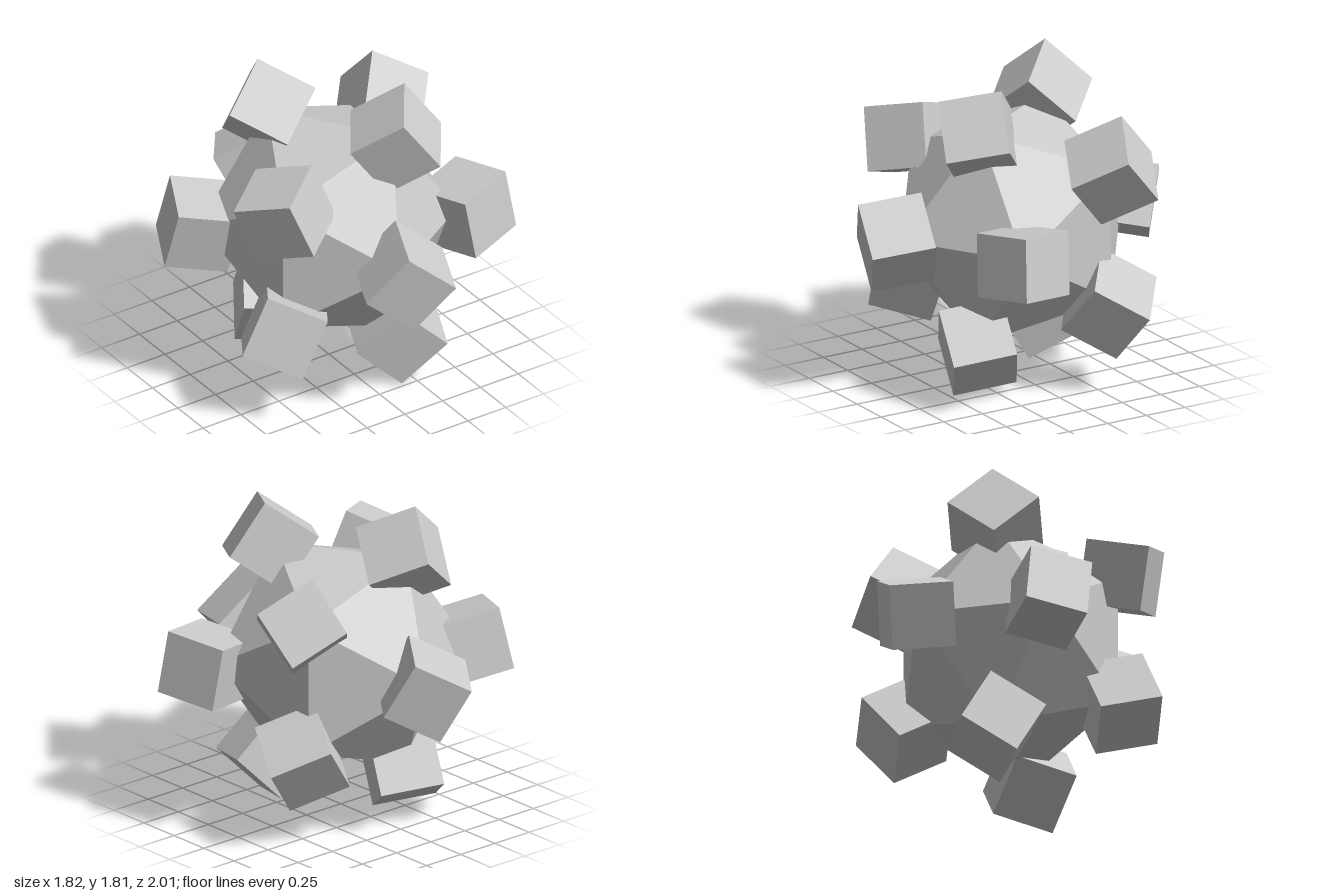
import * as THREE from 'three';

const CENTRE_Y = 0.91;
const CUBE = 0.357;

// Each cube: centre, then the directions of two of its edges
const CUBES = [
  // front, back
  { at: [0, 0.91, 0.745], u: [-41, -54, -24], v: [-58, 39, -17] },
  { at: [0.01, 0.91, -0.71], u: [-51, -32, -31], v: [-39, 9, 54] },
  // left, right
  { at: [0.675, 0.91, 0.345], u: [34, 4.3, -10.7], v: [-5.8, 36.4, -2.7] },
  { at: [-0.64, 0.912, -0.33], u: [31.7, -7, 14.3], v: [16.4, 5, -31.2] },
  // top pair
  { at: [0.211, 1.52, 0.345], u: [-41, 60, -14], v: [40, 15, -60] },
  { at: [-0.192, 1.52, -0.304], u: [21, -46, -45], v: [42, -27, 46] },
  // upper sides
  { at: [-0.52, 1.29, 0.34], u: [-26, 69, -11], v: [60, 13, -42] },
  { at: [0.55, 1.297, -0.305], u: [54, -33, 25], v: [-12, -50, -44] },
  // lower sides
  { at: [0.54, 0.52, -0.295], u: [26, -38, -58], v: [53, -28, 43] },
  { at: [-0.515, 0.525, 0.33], u: [-53, 28, -43], v: [40, -20, -59] },
  // bottom pair
  { at: [-0.185, 0.295, -0.297], u: [-16.7, -17.6, 26.2], v: [-31, 4.3, -17.1] },
  { at: [0.211, 0.291, 0.35], u: [-52, 51, -12], v: [-44, -53, -27] },
];

// Rotation whose x axis follows u and whose y axis lies in the plane of u and v
function orientation(u, v) {
  const x = new THREE.Vector3(...u).normalize();
  const z = x.clone().cross(new THREE.Vector3(...v)).normalize();
  const y = z.clone().cross(x);
  return new THREE.Quaternion().setFromRotationMatrix(new THREE.Matrix4().makeBasis(x, y, z));
}

export function createModel() {
  const model = new THREE.Group();
  model.name = 'cubeStuddedIcosahedron';
  const material = new THREE.MeshStandardMaterial({ color: 0xcccccc, flatShading: true });

  // Core: one corner points straight ahead, one edge lies on top
  const coreGeometry = new THREE.IcosahedronGeometry(0.715, 0);
  coreGeometry.rotateY(Math.atan((1 + Math.sqrt(5)) / 2) * -1);
  const core = new THREE.Mesh(coreGeometry, material);
  core.name = 'core';
  core.position.y = CENTRE_Y;
  model.add(core);

  // A tumbled cube sits over every corner of the core
  const cubeGeometry = new THREE.BoxGeometry(CUBE, CUBE, CUBE);
  CUBES.forEach(({ at, u, v }, i) => {
    const cube = new THREE.Mesh(cubeGeometry, material);
    cube.name = `cornerCube${i + 1}`;
    cube.position.set(...at);
    cube.quaternion.copy(orientation(u, v));
    model.add(cube);
  });

  return model;
}
